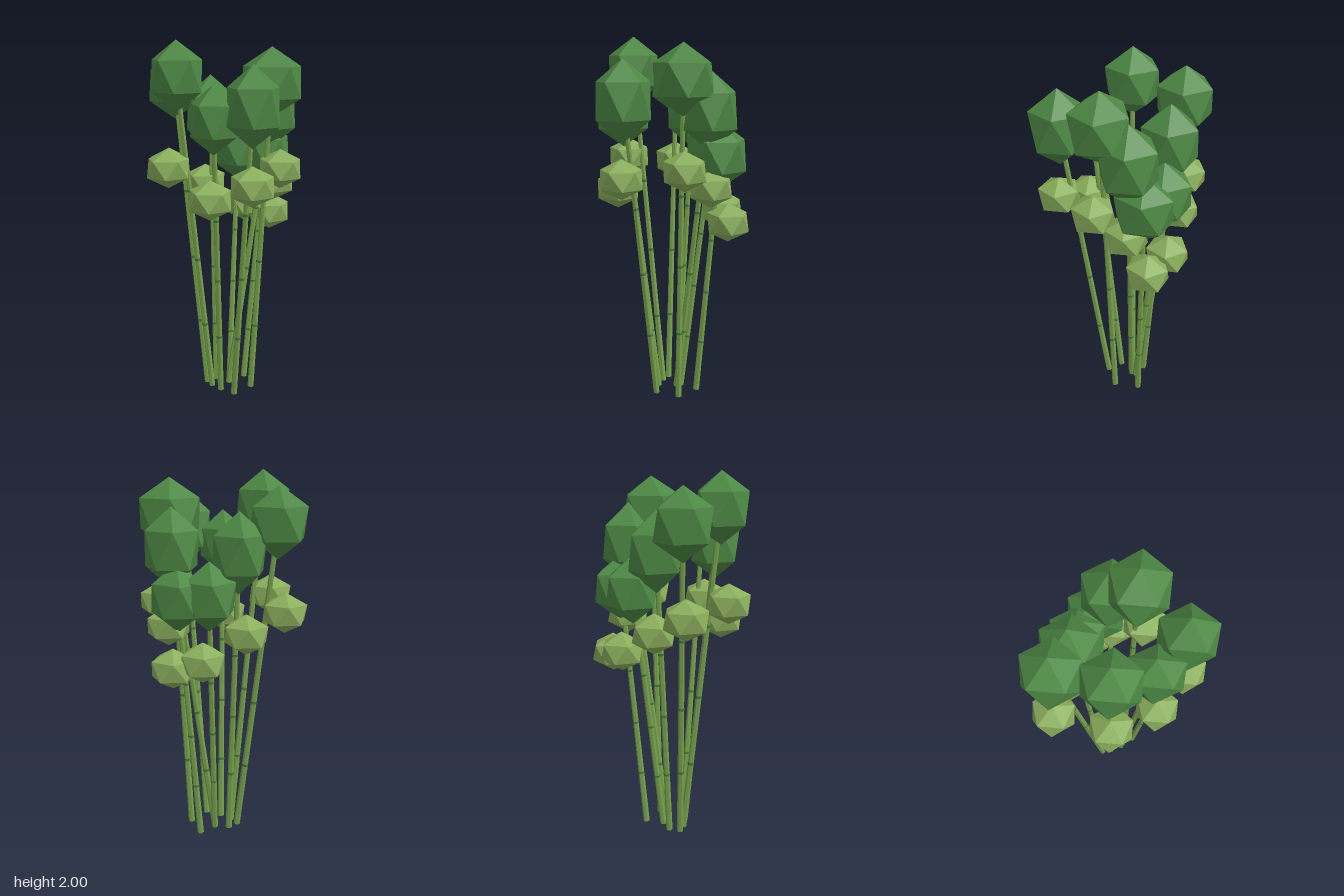
import * as THREE from 'three';

const paint = (name, color) => {
  const m = new THREE.MeshStandardMaterial({ color });
  m.name = name;
  return m;
};

// Each stalk: base [x, z], crown centre, crown half sizes, lower tuft centre
const STALKS = [
  { base: [-0.08, -0.13], crown: [-0.215, 1.75, -0.305], size: [0.146, 0.185, 0.142], tuft: [-0.25, 1.29, -0.33] },
  { base: [-0.02, -0.15], crown: [-0.02, 1.60, -0.255], size: [0.138, 0.21, 0.144], tuft: [-0.04, 1.19, -0.31] },
  { base: [0.05, -0.11], crown: [0.14, 1.39, -0.25], size: [0.135, 0.18, 0.139], tuft: [0.19, 1.06, -0.285] },
  { base: [0.15, -0.14], crown: [0.28, 1.38, -0.17], size: [0.135, 0.18, 0.145], tuft: [0.32, 1.02, -0.2] },
  { base: [0.04, -0.085], crown: [0.28, 1.62, -0.09], size: [0.14, 0.21, 0.144], tuft: [0.30, 1.22, -0.085] },
  { base: [0.15, 0], crown: [0.235, 1.78, 0.055], size: [0.163, 0.185, 0.147], tuft: [0.28, 1.32, 0.085] },
  { base: [0.03, 0.06], crown: [0.055, 1.675, 0.30], size: [0.136, 0.21, 0.144], tuft: [0.05, 1.275, 0.315] },
  { base: [-0.03, -0.01], crown: [-0.113, 1.60, 0.165], size: [0.122, 0.18, 0.14], tuft: [-0.14, 1.19, 0.19] },
  { base: [-0.065, -0.075], crown: [-0.262, 1.815, -0.027], size: [0.139, 0.185, 0.139], tuft: [-0.315, 1.33, -0.03] },
];
const TUFT_SIZE = [0.115, 0.107, 0.107];

export function createModel() {
  const model = new THREE.Group();
  model.name = 'bambooClump';
  const stalkGreen = paint('stalk green', 0x76a04b);
  const nodeGreen = paint('node green', 0x42793a);
  const crownGreen = paint('crown green', 0x4d8844);
  const tuftGreen = paint('tuft green', 0x8aae5c);

  // Icosahedron with one corner pointing straight up
  const ico = new THREE.IcosahedronGeometry(1, 0);
  ico.rotateZ(-Math.atan(2 / (1 + Math.sqrt(5))));
  ico.computeVertexNormals();

  const leaf = (name, material, centre, half) => {
    const mesh = new THREE.Mesh(ico, material);
    mesh.name = name;
    mesh.position.fromArray(centre);
    mesh.scale.set(half[0] / 0.894, half[1], half[2] / 0.851);
    return mesh;
  };

  // Faceted six-sided rod between two points
  const up = new THREE.Vector3(0, 1, 0);
  const rod = (name, material, from, to, rBottom, rTop) => {
    const dir = to.clone().sub(from);
    const geo = new THREE.CylinderGeometry(rTop, rBottom, dir.length(), 6).toNonIndexed();
    geo.computeVertexNormals();
    const mesh = new THREE.Mesh(geo, material);
    mesh.name = name;
    mesh.position.copy(from).add(to).multiplyScalar(0.5);
    mesh.quaternion.setFromUnitVectors(up, dir.normalize());
    return mesh;
  };

  for (const { base, crown, size, tuft } of STALKS) {
    const plant = new THREE.Group();
    plant.name = 'bambooPlant';
    const foot = new THREE.Vector3(base[0], 0.003, base[1]);
    const top = new THREE.Vector3(...crown);
    plant.add(rod('stalk', stalkGreen, foot, top, 0.018, 0.013));

    // Dark rings at the joints of the stalk
    for (const t of [0.22, 0.44, 0.66]) {
      const r = 0.0195 - 0.005 * t;
      const a = foot.clone().lerp(top, t - 0.004);
      const b = foot.clone().lerp(top, t + 0.004);
      plant.add(rod('stalkNode', nodeGreen, a, b, r, r));
    }

    plant.add(leaf('crown', crownGreen, crown, size));
    plant.add(leaf('lowerTuft', tuftGreen, tuft, TUFT_SIZE));
    model.add(plant);
  }
  return model;
}
